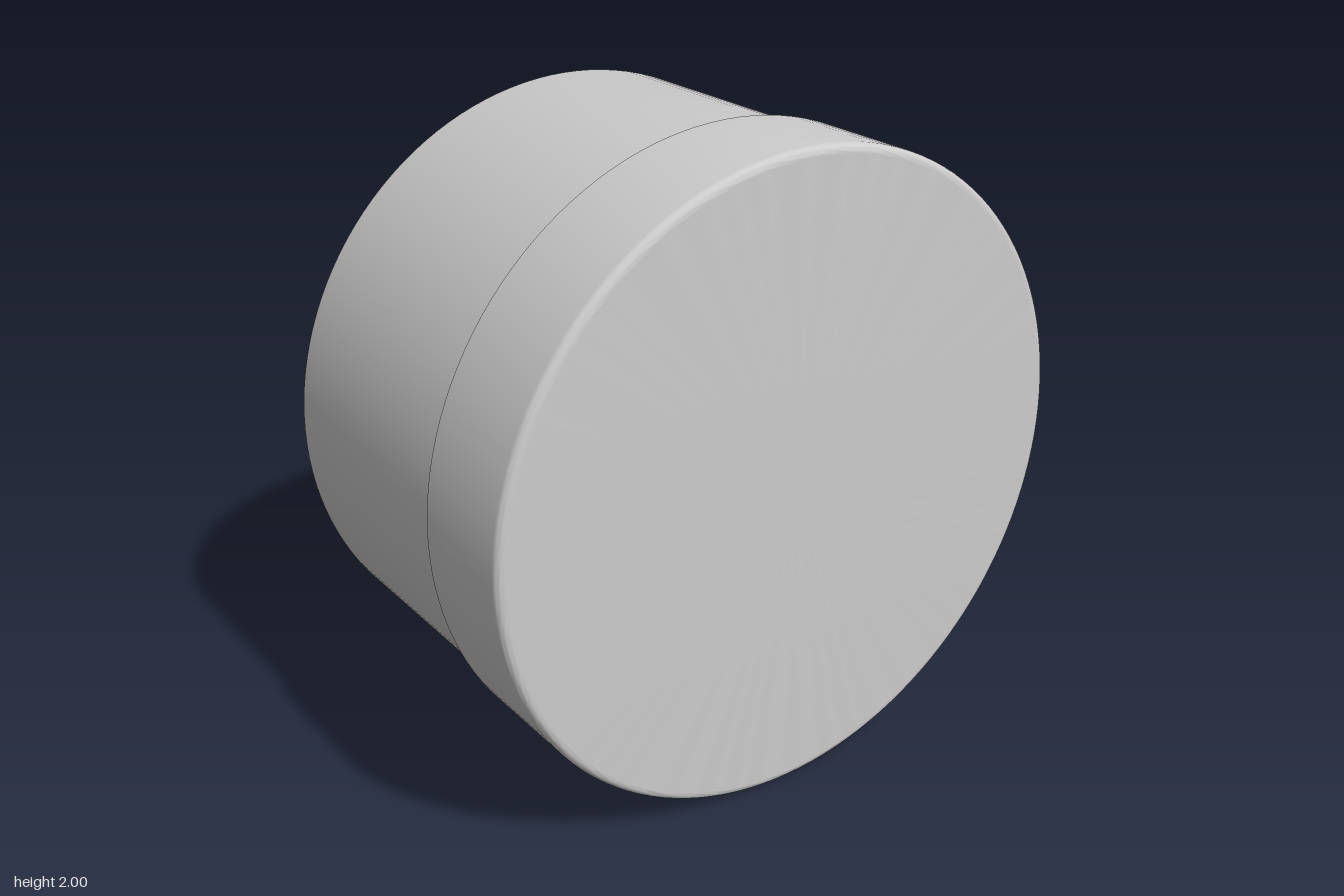
import * as THREE from 'three';
import { toCreasedNormals } from 'three/addons/utils/BufferGeometryUtils.js';

const SEGMENTS = 128;
const FILLET = 0.025;

// Quarter-round corner as profile points, from angle a0 to a1 around (r, z).
function corner(r, z, a0, a1, steps = 6) {
  return Array.from({ length: steps + 1 }, (_, i) => {
    const a = a0 + ((a1 - a0) * i) / steps;
    return [r + FILLET * Math.cos(a), z + FILLET * Math.sin(a)];
  });
}

// Revolve [radius, z] points, listed back to front, around the z axis.
function turned(name, profile, material) {
  const points = profile.map(([r, z]) => new THREE.Vector2(r, z));
  const geometry = new THREE.LatheGeometry(points, SEGMENTS).rotateX(Math.PI / 2);
  const mesh = new THREE.Mesh(toCreasedNormals(geometry, 0.6), material);
  mesh.name = name;
  mesh.position.y = 1;
  return mesh;
}

export function createModel() {
  const material = new THREE.MeshStandardMaterial({ color: 0xcccccc });
  const group = new THREE.Group();
  group.name = 'jar';

  const half = 0.605;
  const bodyR = 0.973;
  const lidR = 1;

  // Jar body with a rounded base edge; the extra ring keeps the base flat.
  group.add(turned('body', [
    [0, -half],
    [bodyR - FILLET - 0.004, -half],
    ...corner(bodyR - FILLET, -half + FILLET, -Math.PI / 2, 0),
    [bodyR, 0.226],
    [0, 0.226],
  ], material));

  // Recessed neck seen in the gap below the lid.
  group.add(turned('neck', [[0, 0.2], [0.938, 0.2], [0.938, 0.26], [0, 0.26]], material));

  // Lid with a rounded front edge.
  group.add(turned('lid', [
    [0, 0.24],
    [lidR, 0.24],
    ...corner(lidR - FILLET, half - FILLET, 0, Math.PI / 2),
    [lidR - FILLET - 0.004, half],
    [0, half],
  ], material));

  return group;
}
